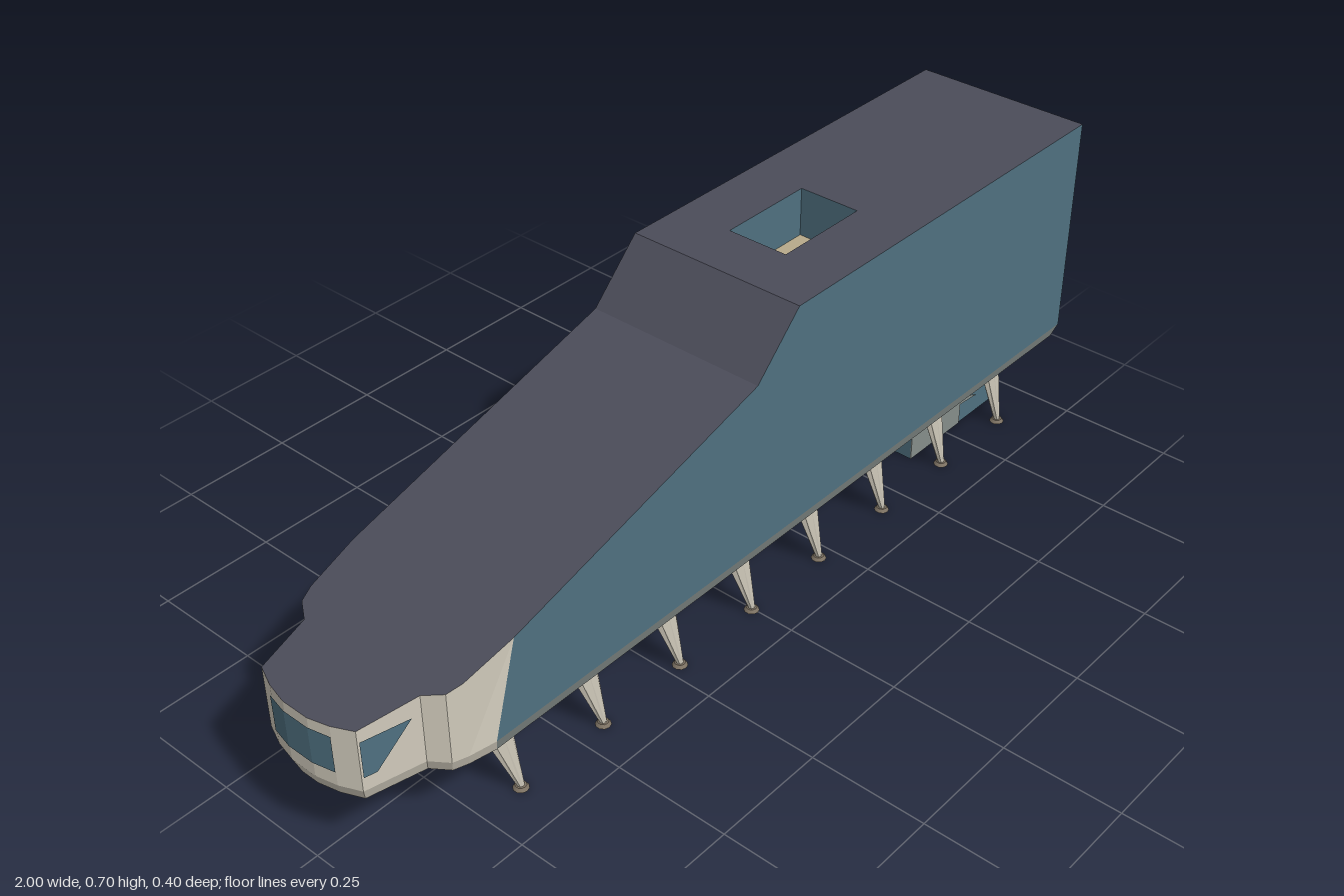
import * as THREE from 'three';

const mat = (name, color, side = THREE.FrontSide) => {
  const m = new THREE.MeshStandardMaterial({ color, side });
  m.name = name;
  return m;
};

// Collects four-cornered faces into one flat-shaded mesh
class Faces {
  constructor() { this.p = []; }
  quad(a, b, c, d, flip = false) {
    if (flip) [b, d] = [d, b];
    this.p.push(...a, ...b, ...c, ...a, ...c, ...d);
  }
  mesh(name, material) {
    const g = new THREE.BufferGeometry();
    g.setAttribute('position', new THREE.Float32BufferAttribute(this.p, 3));
    g.computeVertexNormals();
    const m = new THREE.Mesh(g, material);
    m.name = name;
    return m;
  }
}

// Stations along the length: x at the roof, x at the wall foot, half width, roof height
const STATIONS = [
  [-1, -1, 0.03, 0.345], [-0.99, -0.99, 0.075, 0.347], [-0.972, -0.972, 0.118, 0.349],
  [-0.855, -0.855, 0.145, 0.362], [-0.83, -0.83, 0.18, 0.368], [-0.8, -0.8, 0.19, 0.377],
  [-0.69, -0.745, 0.2, 0.41], [-0.06, -0.06, 0.2, 0.59], [0.055, 0.055, 0.2, 0.705],
  [0.18, 0.18, 0.2, 0.705], [0.4, 0.4, 0.2, 0.705], [1, 1, 0.2, 0.705],
];
const CAB_END = 6, PIT = 9;
// Hull rows: height and inset
const ROWS = [[0.163, 0.03], [0.183, 0.01], [0.213, 0]];
const PIT_Z = [-0.07, 0.067], PIT_Y = 0.6;

export function createModel() {
  const group = new THREE.Group();
  const blue = mat('blue wall', 0x4f7080);
  const slate = mat('slate roof', 0x4b4c59);
  const cream = mat('cream panel', 0xd0cabb);
  const grey = mat('grey hull', 0x868e8b);
  const tan = mat('tan floor', 0xb8aa8a);
  const brown = mat('brown metal', 0x7d7263);

  const walls = new Faces(), cab = new Faces(), hull = new Faces(), roof = new Faces();
  const windows = new Faces(), pit = new Faces();
  const top = (st, s) => [st[0], st[3], s * st[2]];
  const low = (st, s, r) => [st[1] * (1 - ROWS[r][1]), ROWS[r][0], s * (st[2] - ROWS[r][1])];

  for (let i = 0; i < STATIONS.length - 1; i++) {
    const a = STATIONS[i], b = STATIONS[i + 1];
    const upper = i < CAB_END ? cab : walls, lower = i < CAB_END ? cab : hull;
    for (const s of [1, -1]) {
      upper.quad(low(a, s, 2), low(b, s, 2), top(b, s), top(a, s), s < 0);
      for (let r = 0; r < 2; r++)
        lower.quad(low(a, s, r), low(b, s, r), low(b, s, r + 1), low(a, s, r + 1), s < 0);
    }
    hull.quad(low(a, -1, 0), low(b, -1, 0), low(b, 1, 0), low(a, 1, 0));
    if (i !== PIT) roof.quad(top(a, 1), top(b, 1), top(b, -1), top(a, -1));
  }

  // End faces
  const nose = STATIONS[0], tail = STATIONS[STATIONS.length - 1];
  cab.quad(low(nose, -1, 2), low(nose, 1, 2), top(nose, 1), top(nose, -1));
  walls.quad(low(tail, 1, 2), low(tail, -1, 2), top(tail, -1), top(tail, 1));
  for (let r = 0; r < 2; r++) {
    cab.quad(low(nose, -1, r), low(nose, 1, r), low(nose, 1, r + 1), low(nose, -1, r + 1));
    hull.quad(low(tail, 1, r), low(tail, -1, r), low(tail, -1, r + 1), low(tail, 1, r + 1));
  }

  // Roof either side of the recess, and the recess walls
  const [x0, , w, h] = STATIONS[PIT], x1 = STATIONS[PIT + 1][0], [z0, z1] = PIT_Z;
  for (const [zf, zb] of [[w, z1], [z0, -w]])
    roof.quad([x0, h, zf], [x1, h, zf], [x1, h, zb], [x0, h, zb]);
  const ring = [[x0, z0], [x1, z0], [x1, z1], [x0, z1]];
  ring.forEach(([ax, az], i) => {
    const [bx, bz] = ring[(i + 1) % 4];
    pit.quad([ax, PIT_Y, az], [bx, PIT_Y, bz], [bx, h, bz], [ax, h, az]);
  });
  const pitFloor = new Faces();
  pitFloor.quad([x0, PIT_Y, z1], [x1, PIT_Y, z1], [x1, PIT_Y, z0], [x0, PIT_Y, z0]);

  // Cab windows: a band round the nose and a tapered pane on each side
  const Y0 = 0.245, Y1 = 0.325, off = 0.003;
  const xb = -1 - off + 0.003 * 0.3;
  windows.quad([xb, Y0, -0.03], [xb, Y0, 0.03], [xb, Y1, 0.03], [xb, Y1, -0.03]);
  for (const s of [1, -1]) {
    const pane = (x, y) => [x, y, s * (0.118 + (x + 0.972) * 0.231 + off)];
    windows.quad([xb, Y0, s * 0.03], [-0.992, Y0, s * 0.076],
      [-0.992, Y1, s * 0.076], [xb, Y1, s * 0.03], s < 0);
    windows.quad(pane(-0.97, Y0), pane(-0.945, Y0), pane(-0.875, Y1), pane(-0.97, Y1), s < 0);
  }

  group.add(
    walls.mesh('walls', blue), cab.mesh('cab', cream), hull.mesh('hull', grey),
    roof.mesh('roof', slate), windows.mesh('cabWindows', blue),
    pit.mesh('roofRecessWalls', blue), pitFloor.mesh('roofRecessFloor', tan),
  );

  // Studs in the roof recess
  for (const x of [0.235, 0.335]) {
    const stud = new THREE.Mesh(new THREE.SphereGeometry(0.015, 10, 6), brown);
    stud.name = 'recessStud';
    stud.position.set(x, PIT_Y + 0.01, 0);
    group.add(stud);
  }

  // Tapered, raked leg with a round foot
  const legGeometry = (zTop, zFoot) => {
    let g = new THREE.CylinderGeometry(1, 1, 1, 8);
    const p = g.attributes.position;
    for (let i = 0; i < p.count; i++) {
      const t = p.getY(i) + 0.5;
      p.setXYZ(i,
        -0.038 * t + p.getX(i) * (0.007 + 0.026 * t),
        0.005 + 0.16 * t,
        zFoot + (zTop - zFoot) * t + p.getZ(i) * (0.007 + 0.005 * t));
    }
    g = g.toNonIndexed();
    g.computeVertexNormals();
    return g;
  };
  const footGeometry = new THREE.CylinderGeometry(0.011, 0.016, 0.007, 10);
  for (const [zTop, zFoot] of [[0.14, 0.15], [-0.149, -0.16]]) {
    const geometry = legGeometry(zTop, zFoot);
    for (let i = 0; i < 8; i++) {
      const leg = new THREE.Group();
      leg.name = 'leg';
      const strut = new THREE.Mesh(geometry, cream);
      strut.name = 'strut';
      const foot = new THREE.Mesh(footGeometry, brown);
      foot.name = 'foot';
      foot.position.set(0, 0.0035, zFoot);
      leg.add(strut, foot);
      leg.position.x = -0.652 + i * 0.2165;
      group.add(leg);
    }
  }

  // Entrance block under the tail, with a grey panel on its front
  const block = new THREE.Mesh(new THREE.BoxGeometry(0.318, 0.158, 0.123), blue);
  block.name = 'entranceBlock';
  block.position.set(0.776, 0.079, 0.0275);
  const outline = [[0.617, 0], [0.8, 0], [0.8, 0.05], [0.86, 0.045], [0.617, 0.155]];
  const panel = new THREE.Mesh(new THREE.ExtrudeGeometry(
    new THREE.Shape(outline.map(([x, y]) => new THREE.Vector2(x, y))),
    { depth: 0.002, bevelEnabled: false }), grey);
  panel.name = 'entrancePanel';
  panel.position.z = 0.089;
  group.add(block, panel);

  return group;
}
